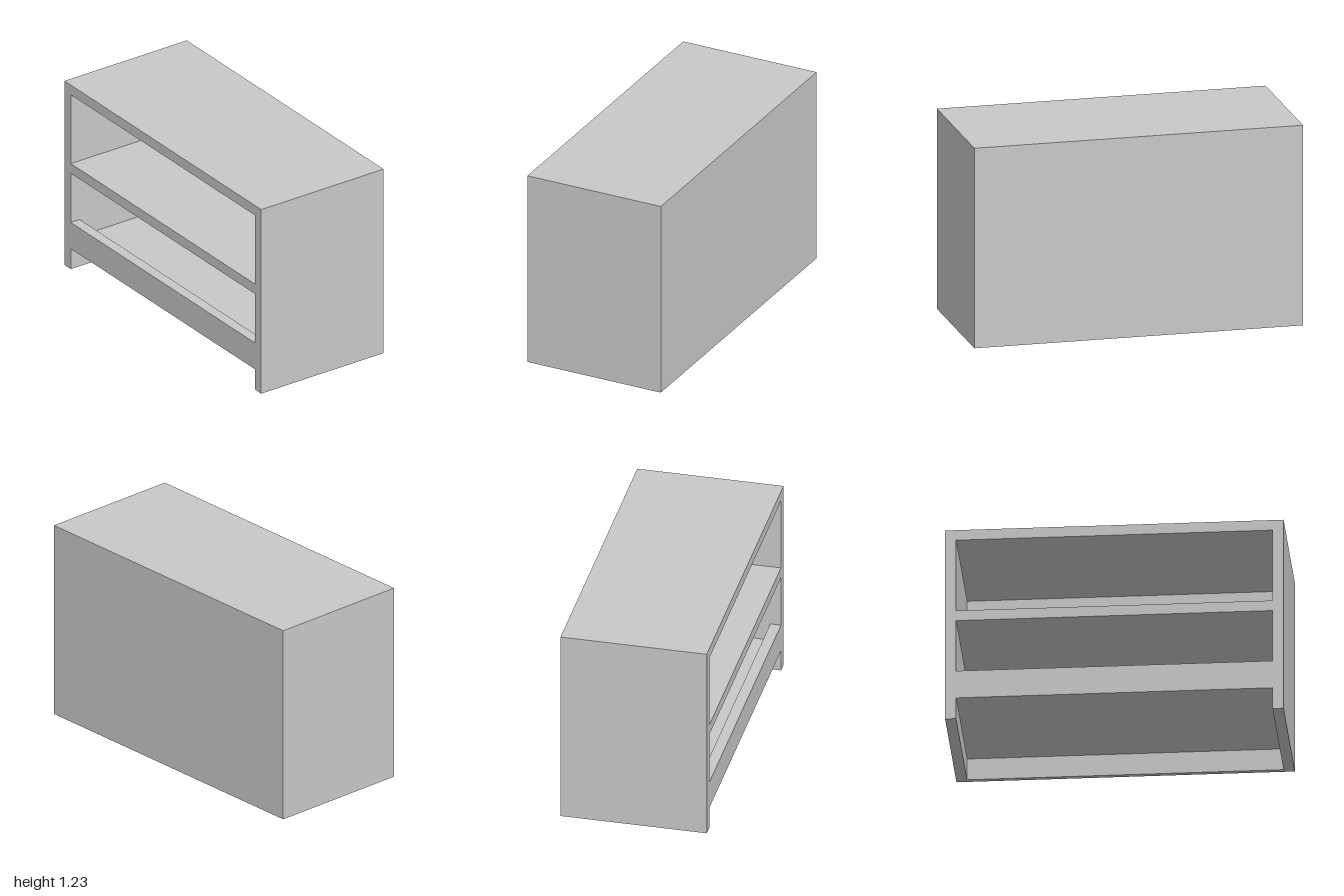
import * as THREE from 'three';

const W = 2, H = 1.225, D = 0.885; // overall size
const T = 0.065;                   // board thickness
const BACK = 0.03;                 // back panel thickness

export function createModel() {
  const group = new THREE.Group();
  const grey = new THREE.MeshStandardMaterial({ color: 0xc8c8c8 });
  grey.name = 'light grey';

  // Box given by its limits on each axis
  function board(name, [x0, x1], [y0, y1], [z0, z1]) {
    const mesh = new THREE.Mesh(new THREE.BoxGeometry(x1 - x0, y1 - y0, z1 - z0), grey);
    mesh.position.set((x0 + x1) / 2, (y0 + y1) / 2, (z0 + z1) / 2);
    mesh.name = name;
    group.add(mesh);
  }

  const inner = [-W / 2 + T, W / 2 - T];
  const front = D / 2, back = -D / 2;
  const depth = [back + BACK, front];

  // Side panels reaching the ground
  board('leftSide', [inner[1], W / 2], [0, H], depth);
  board('rightSide', [-W / 2, inner[0]], [0, H], depth);

  // Top, middle shelf and the lower floor set behind its rail
  board('top', inner, [H - T, H], depth);
  board('middleShelf', inner, [0.637, 0.702], depth);
  board('bottomShelf', inner, [0.135, 0.2], [depth[0], front - T]);

  // Front rail standing above the lower floor as a lip
  board('frontRail', inner, [0.135, 0.31], [front - T, front]);

  // Full back panel
  board('backPanel', [-W / 2, W / 2], [0, H], [back, back + BACK]);

  return group;
}
